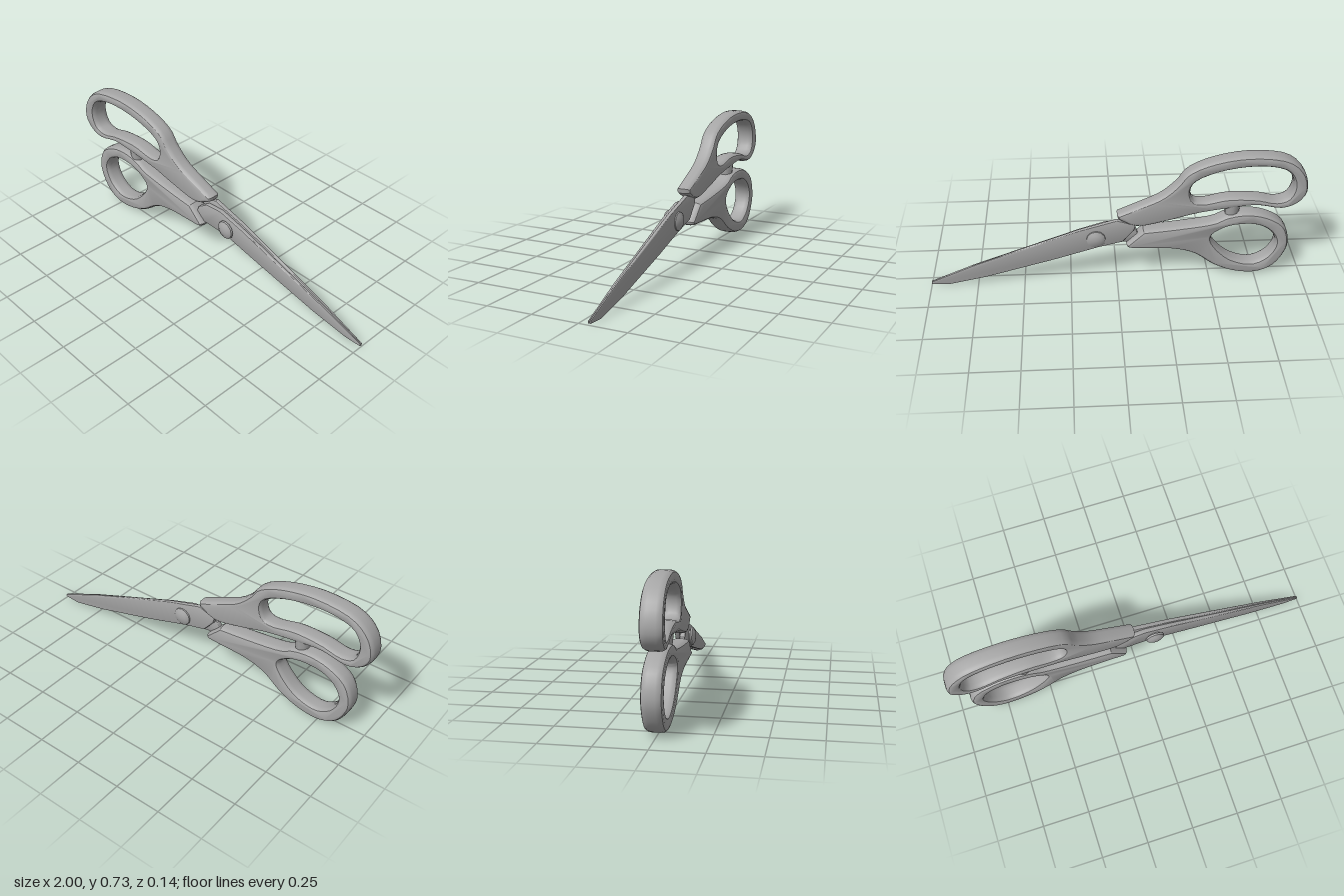
import * as THREE from 'three';
import { toCreasedNormals } from 'three/addons/utils/BufferGeometryUtils.js';

const grey = new THREE.MeshStandardMaterial({ color: 0xa6a6a6 });
grey.name = 'grey';

const vectors = (pts) => pts.map(([x, y]) => new THREE.Vector2(x, y));

// Bevelled plate whose back and front z vary linearly with x: [z at x=0, z at x=1]
function taperedPlate(shape, back, front, bevel) {
  const geo = new THREE.ExtrudeGeometry(shape, {
    depth: 0.4, bevelThickness: 0.3, bevelSize: bevel, bevelOffset: -bevel,
    bevelSegments: 3, curveSegments: 3,
  });
  const p = geo.attributes.position;
  for (let i = 0; i < p.count; i++) {
    const x = p.getX(i);
    const b = THREE.MathUtils.lerp(back[0], back[1], x);
    const f = THREE.MathUtils.lerp(front[0], front[1], x);
    p.setZ(i, THREE.MathUtils.lerp(b, f, p.getZ(i) + 0.3));
  }
  geo.computeVertexNormals();
  return toCreasedNormals(geo, 0.55);
}

// Curved outline closed by a straight end, with a smooth finger hole
function handleShape(outline, hole) {
  const shape = new THREE.Shape(new THREE.SplineCurve(vectors(outline)).getPoints(54));
  const loop = new THREE.CatmullRomCurve3(hole.map(([x, y]) => new THREE.Vector3(x, y, 0)), true);
  const pts = loop.getPoints(40).slice(0, 40).map((v) => new THREE.Vector2(v.x, v.y));
  shape.holes.push(new THREE.Path(pts));
  return shape;
}

export function createModel() {
  const model = new THREE.Group();
  model.name = 'scissors';
  const add = (name, geometry, parent = model) => {
    const mesh = new THREE.Mesh(geometry, grey);
    mesh.name = name;
    parent.add(mesh);
    return mesh;
  };

  // Long upper handle
  add('upperHandle', taperedPlate(handleShape(
    [[0, 0.41], [-0.12, 0.46], [-0.23, 0.51], [-0.31, 0.58], [-0.37, 0.655], [-0.5, 0.71],
      [-0.68, 0.735], [-0.87, 0.71], [-0.97, 0.63], [-1, 0.52], [-0.96, 0.445], [-0.87, 0.41],
      [-0.74, 0.435], [-0.6, 0.425], [-0.42, 0.4], [-0.28, 0.365], [-0.11, 0.335], [-0.005, 0.385]],
    [[-0.925, 0.55], [-0.89, 0.63], [-0.8, 0.665], [-0.66, 0.67], [-0.5, 0.64], [-0.4, 0.59],
      [-0.38, 0.54], [-0.4, 0.48], [-0.45, 0.468], [-0.58, 0.49], [-0.74, 0.48], [-0.84, 0.457],
      [-0.9, 0.475]],
  ), [-0.06, -0.08], [0.02, -0.028], 0.02));

  // Round lower handle
  add('lowerHandle', taperedPlate(handleShape(
    [[-0.14, 0.305], [-0.31, 0.32], [-0.5, 0.345], [-0.58, 0.38], [-0.68, 0.395], [-0.79, 0.375],
      [-0.89, 0.31], [-0.925, 0.2], [-0.9, 0.11], [-0.845, 0.04], [-0.75, 0.005], [-0.63, 0.02],
      [-0.52, 0.07], [-0.42, 0.145], [-0.31, 0.18], [-0.18, 0.19], [-0.07, 0.197], [-0.05, 0.22]],
    [[-0.855, 0.2], [-0.825, 0.27], [-0.755, 0.315], [-0.66, 0.325], [-0.58, 0.31], [-0.51, 0.265],
      [-0.505, 0.235], [-0.55, 0.165], [-0.63, 0.1], [-0.74, 0.075], [-0.82, 0.12]],
  ), [-0.063, -0.073], [0.036, 0.026], 0.02));

  // Stop between the handles
  add('handleStop', new THREE.CylinderGeometry(0.045, 0.035, 0.09, 10))
    .position.set(-0.61, 0.405, -0.002);

  // Two closed blades, each with a tang running into its handle
  const frontBlade = [[-0.13, 0.225], [-0.05, 0.222], [0.1, 0.213], [0.33, 0.15], [0.7, 0.055],
    [0.91, 0.015], [1, 0.013], [1, 0.025], [0.76, 0.12], [0.48, 0.215], [0.2, 0.31],
    [0.06, 0.35], [-0.04, 0.345], [-0.1, 0.305]];
  const backBlade = [[-0.1, 0.345], [-0.09, 0.31], [-0.03, 0.24], [0.1, 0.21], [0.33, 0.143],
    [0.7, 0.046], [0.91, 0.005], [1, 0.013], [1, 0.025], [0.76, 0.125], [0.48, 0.225],
    [0.2, 0.322], [0, 0.378]];
  add('frontBlade', taperedPlate(new THREE.Shape(vectors(frontBlade)), [-0.026, -0.058], [0, -0.05], 0.005));
  add('backBlade', taperedPlate(new THREE.Shape(vectors(backBlade)), [-0.05, -0.066], [-0.026, -0.058], 0.005));

  // Pivot screw with a domed head on each side
  const screw = new THREE.Group();
  screw.name = 'pivotScrew';
  screw.position.set(0.112, 0.265, -0.022);
  model.add(screw);
  const head = [[0.035, 0], [0.035, 0.022], [0.052, 0.026], [0.05, 0.036], [0.03, 0.047], [0, 0.051]];
  for (const side of [1, -1]) {
    const geo = toCreasedNormals(new THREE.LatheGeometry(vectors(head), 12), 0.6);
    add(side > 0 ? 'frontScrewHead' : 'backScrewHead', geo, screw).rotation.x = side * Math.PI / 2;
  }
  return model;
}
